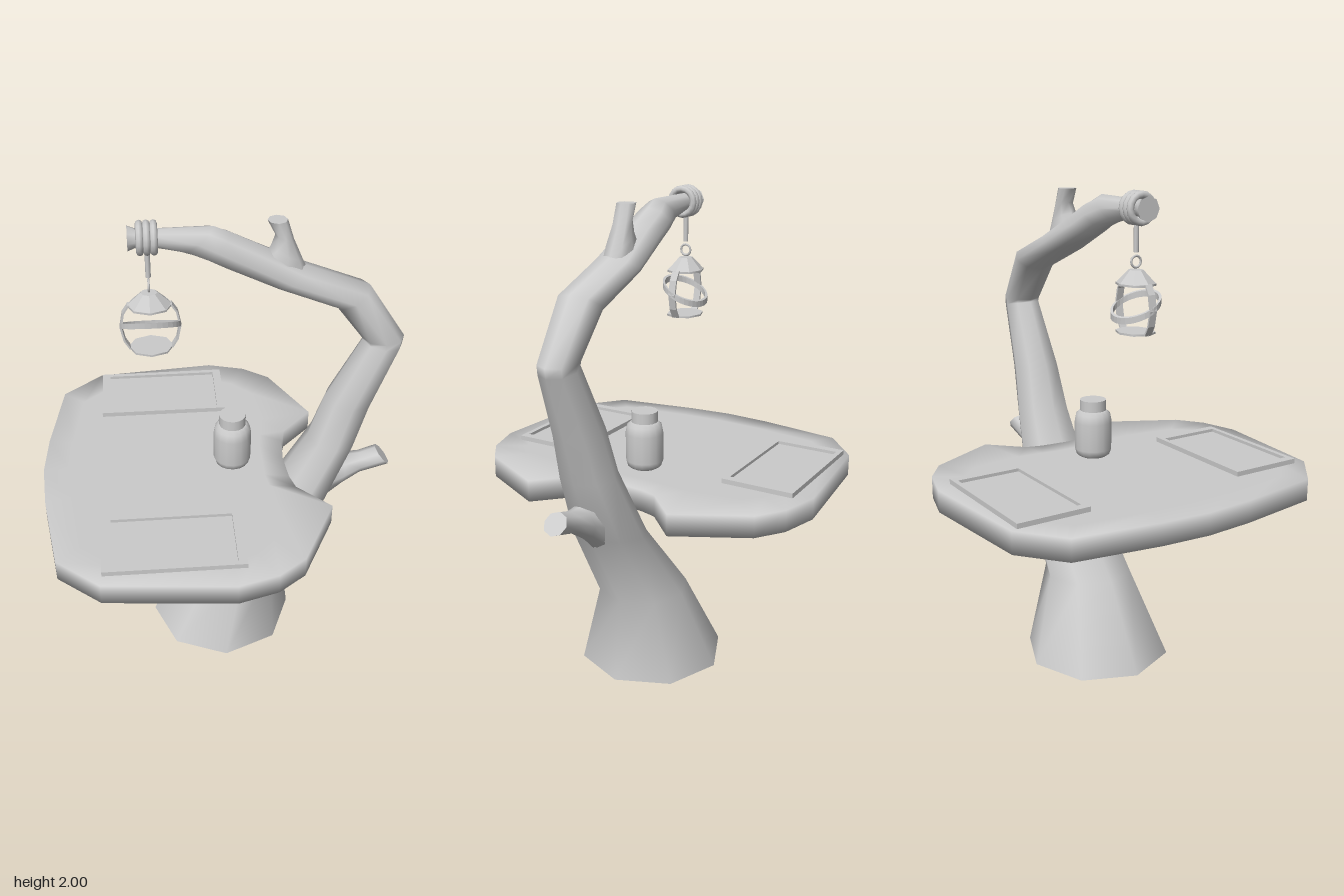
import * as THREE from 'three';

const material = new THREE.MeshStandardMaterial({ color: 0xcccccc, side: THREE.DoubleSide });

function add(parent, name, geometry, x = 0, y = 0, z = 0) {
  const mesh = new THREE.Mesh(geometry, material);
  mesh.name = name;
  mesh.position.set(x, y, z);
  parent.add(mesh);
  return mesh;
}

// Smooth skin over closed rings of points, with flat end caps
function loft(rings) {
  const n = rings[0].length, pos = [], index = [];
  rings.forEach(r => r.forEach(p => pos.push(...p)));
  for (let i = 0; i < rings.length - 1; i++) {
    for (let j = 0; j < n; j++) {
      const a = i * n + j, b = i * n + (j + 1) % n;
      index.push(a, a + n, b, b, a + n, b + n);
    }
  }
  [rings[0], rings[rings.length - 1]].forEach((ring, end) => {
    const start = pos.length / 3;
    ring.forEach(p => pos.push(...p));
    pos.push(...[0, 1, 2].map(k => ring.reduce((s, p) => s + p[k], 0) / n));
    for (let j = 0; j < n; j++) {
      const a = start + j, b = start + (j + 1) % n;
      index.push(start + n, ...(end ? [b, a] : [a, b]));
    }
  });
  const g = new THREE.BufferGeometry();
  g.setAttribute('position', new THREE.Float32BufferAttribute(pos, 3));
  g.setIndex(index);
  g.computeVertexNormals();
  return g;
}

// Limb section: left edge (ax, ay), right edge (bx, by), depth centre and half depth
function limb(sections, sides = 8) {
  return loft(sections.map(([ax, ay, bx, by, zc, zr]) =>
    Array.from({ length: sides }, (_, k) => {
      const t = k / sides * Math.PI * 2, c = Math.cos(t) / 2;
      return [(ax + bx) / 2 + (bx - ax) * c, (ay + by) / 2 + (by - ay) * c, zc + zr * Math.sin(t)];
    })));
}

function buildTree(root) {
  const tree = new THREE.Group();
  tree.name = 'tree';
  root.add(tree);
  add(tree, 'trunk', limb([
    [-0.305, 0, 0.32, 0, -0.01, 0.31],
    [-0.105, 0.35, 0.275, 0.35, -0.01, 0.19],
    [0.2, 0.69, 0.48, 0.72, -0.01, 0.155],
    [0.37, 1.0, 0.575, 0.98, -0.005, 0.12],
    [0.43, 1.19, 0.63, 1.17, -0.005, 0.1],
    [0.565, 1.46, 0.725, 1.43, -0.005, 0.075],
    [0.56, 1.47, 0.73, 1.47, -0.005, 0.075],
    [0.445, 1.62, 0.575, 1.7, -0.01, 0.09],
    [0.2, 1.72, 0.33, 1.79, -0.015, 0.095],
    [0, 1.81, 0.16, 1.88, -0.01, 0.075],
    [-0.06, 1.84, 0.04, 1.94, -0.01, 0.07],
    [-0.14, 1.87, -0.02, 1.968, -0.005, 0.05],
    [-0.28, 1.905, -0.27, 1.965, -0.005, 0.035],
    [-0.3, 1.9, -0.3, 1.965, -0.005, 0.037],
    [-0.335, 1.885, -0.335, 1.98, -0.005, 0.05],
  ]));
  add(tree, 'lowerBranchStub', limb([
    [0.42, 0.9, 0.4, 0.62, -0.005, 0.085],
    [0.54, 0.88, 0.52, 0.74, -0.005, 0.065],
    [0.6, 0.885, 0.6, 0.795, -0.005, 0.05],
    [0.667, 0.91, 0.73, 0.835, -0.005, 0.05],
  ]));
  add(tree, 'upperBranchStub', limb([
    [0.14, 1.8, 0.35, 1.74, -0.015, 0.06],
    [0.19, 1.88, 0.31, 1.82, -0.015, 0.05],
    [0.205, 1.92, 0.275, 1.9, -0.02, 0.04],
    [0.175, 1.978, 0.25, 1.978, -0.02, 0.038],
  ]));
}

function buildTable(root) {
  // Half outlines as x, z from the trunk notch round to the far end
  const outer = [[0.27, 0], [0.28, 0.12], [0.3, 0.19], [0.43, 0.32], [0.28, 0.61], [0.17, 0.69],
    [0.01, 0.735], [-0.5, 0.69], [-0.67, 0.55], [-0.725, 0.2], [-0.74, 0]];
  const inner = [[0.18, 0], [0.18, 0.1], [0.19, 0.17], [0.2, 0.28], [0.17, 0.5], [0.1, 0.57],
    [0, 0.61], [-0.45, 0.59], [-0.58, 0.48], [-0.62, 0.18], [-0.63, 0]];
  const ring = (half, y) => [...half, ...half.slice(1, -1).reverse().map(([x, z]) => [x, -z])]
    .map(([x, z]) => [x, y, z]);
  add(root, 'tableTop', loft([ring(inner, 0.79), ring(outer, 0.79), ring(outer, 0.88), ring(inner, 0.88)]));

  // Shallow framed trays on both sides
  for (const z of [0.487, -0.512]) {
    const tray = new THREE.Group();
    tray.name = 'tray';
    tray.position.set(-0.22, 0.875, z);
    root.add(tray);
    const rect = (C, w, h) => new C([[-w, -h], [w, -h], [w, h], [-w, h]].map(p => new THREE.Vector2(...p)));
    const shape = rect(THREE.Shape, 0.275, 0.153);
    shape.holes.push(rect(THREE.Path, 0.24, 0.133));
    add(tray, 'trayFrame', new THREE.ExtrudeGeometry(shape, { depth: 0.025, bevelEnabled: false })
      .rotateX(-Math.PI / 2));
    add(tray, 'trayPanel', new THREE.BoxGeometry(0.48, 0.012, 0.266), 0, 0.006, 0);
  }

  // Jar with a screw cap
  const jar = [[0, 0], [0.055, 0], [0.07, 0.01], [0.078, 0.035], [0.079, 0.15], [0.072, 0.185], [0.055, 0.2], [0, 0.2]];
  add(root, 'jar', new THREE.LatheGeometry(jar.map(p => new THREE.Vector2(...p)), 16), 0.053, 0.88, 0);
  add(root, 'jarCap', new THREE.CylinderGeometry(0.055, 0.055, 0.06, 16), 0.053, 1.095, 0);
}

// Flat strip bent round an ellipse; point(t) gives the centre, width is along the given axis
function band(point, axis, width, thick) {
  const pos = [], index = [], n = 32;
  for (let i = 0; i < n; i++) {
    const p = point(i / n * Math.PI * 2);
    for (const [s, w] of [[1, -1], [1, 1], [1 - thick, 1], [1 - thick, -1]]) {
      const q = p.clone().multiplyScalar(s).addScaledVector(axis, w * width / 2);
      pos.push(q.x, q.y, q.z);
    }
    for (let k = 0; k < 4; k++) {
      const a = i * 4 + k, b = i * 4 + (k + 1) % 4, m = ((i + 1) % n) * 4;
      const c = m + k, d = m + (k + 1) % 4;
      index.push(a, b, c, b, d, c);
    }
  }
  const g = new THREE.BufferGeometry();
  g.setAttribute('position', new THREE.Float32BufferAttribute(pos, 3));
  g.setIndex(index);
  const flat = g.toNonIndexed();
  flat.computeVertexNormals();
  return flat;
}

function buildLantern(root) {
  const lantern = new THREE.Group();
  lantern.name = 'lantern';
  lantern.position.set(-0.265, 0, -0.01);
  root.add(lantern);

  // Rope coils, hanging rod and link
  for (const x of [-0.026, 0, 0.026]) {
    add(lantern, 'ropeCoil', new THREE.TorusGeometry(0.051, 0.014, 8, 16).rotateY(Math.PI / 2), x, 1.932, 0.005);
  }
  add(lantern, 'hangingRod', new THREE.CylinderGeometry(0.01, 0.01, 0.12, 8), 0, 1.83, 0);
  add(lantern, 'link', new THREE.TorusGeometry(0.022, 0.005, 6, 12).rotateY(Math.PI / 2), 0, 1.735, 0);

  // Faceted cap and thin end plates
  const cap = new THREE.CylinderGeometry(0.032, 0.085, 0.05, 8).toNonIndexed();
  cap.computeVertexNormals();
  add(lantern, 'lanternCap', cap, 0, 1.68, 0).scale.z = 0.85;
  for (const y of [1.652, 1.468]) {
    add(lantern, 'lanternPlate', new THREE.CylinderGeometry(0.086, 0.086, 0.008, 8), 0, y, 0).scale.z = 0.85;
  }

  // Bowed side straps
  for (const side of [-1, 1]) {
    const pts = [[0.084, 0.095], [0.106, 0.06], [0.118, 0], [0.106, -0.06], [0.084, -0.098]];
    const shape = new THREE.Shape(pts.map(([x, y]) => new THREE.Vector2(side * x, y))
      .concat(pts.slice().reverse().map(([x, y]) => new THREE.Vector2(side * (x - 0.008), y))));
    add(lantern, 'sideStrap', new THREE.ExtrudeGeometry(shape, { depth: 0.03, bevelEnabled: false }), 0, 1.563, -0.015);
  }

  // Tilted girdle ring
  const girdle = t => new THREE.Vector3(0.118 * Math.cos(t), 0.045 * Math.sin(t), 0.085 * Math.sin(t));
  add(lantern, 'girdleRing', band(girdle, new THREE.Vector3(0, 1, 0), 0.024, 0.1), 0, 1.565, 0);
}

export function createModel() {
  const root = new THREE.Group();
  root.name = 'treeTable';
  buildTree(root);
  buildTable(root);
  buildLantern(root);
  return root;
}
